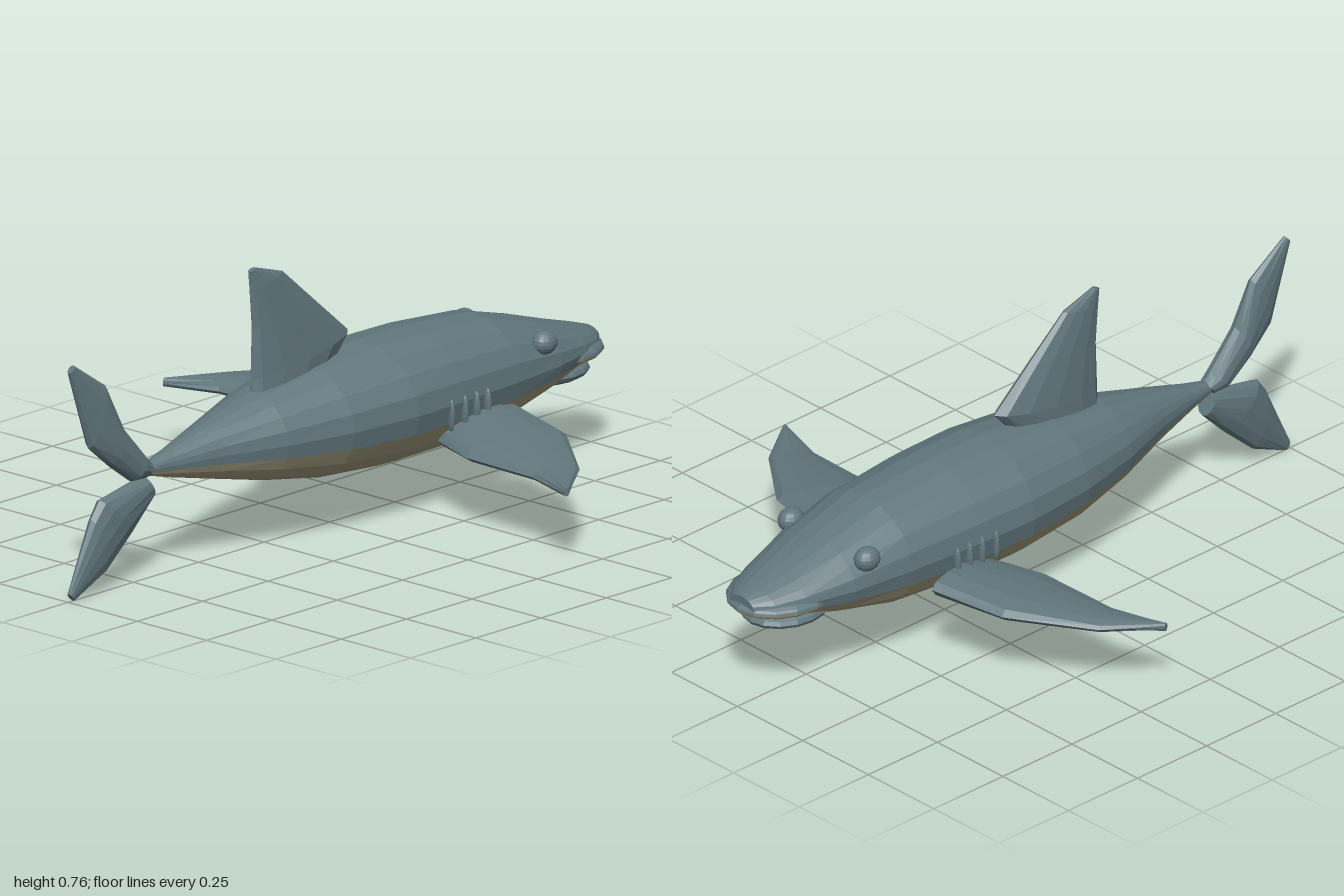
import * as THREE from 'three';

const slate = new THREE.MeshStandardMaterial({ color: 0x61767c, flatShading: true });
slate.name = 'slate skin';
const cream = new THREE.MeshStandardMaterial({ color: 0x9f987c, flatShading: true });
cream.name = 'pale belly';

// Skin closed rings of Vector3 into a capped solid; isPale(j) picks the second material
function loft(name, rings, isPale = () => false) {
  const parts = [[], []];
  const n = rings[0].length;
  let volume = 0;
  const tri = (j, a, b, c) => {
    volume += a.dot(b.clone().cross(c));
    parts[isPale(j) ? 1 : 0].push([a, b, c]);
  };
  for (let i = 0; i < rings.length - 1; i++) {
    for (let j = 0; j < n; j++) {
      const k = (j + 1) % n, r = rings[i], s = rings[i + 1];
      tri(j, r[j], r[k], s[k]);
      tri(j, r[j], s[k], s[j]);
    }
  }
  [rings[0], rings[rings.length - 1]].forEach((ring, end) => {
    const mid = ring.reduce((m, p) => m.add(p), new THREE.Vector3()).divideScalar(n);
    for (let j = 0; j < n; j++) {
      const k = (j + 1) % n;
      if (end) tri(j, ring[j], ring[k], mid); else tri(j, ring[k], ring[j], mid);
    }
  });
  // Turn all corners outward
  const points = [];
  const geometry = new THREE.BufferGeometry();
  parts.forEach((tris, m) => {
    geometry.addGroup(points.length, tris.length * 3, m);
    tris.forEach(([a, b, c]) => points.push(a, ...(volume < 0 ? [c, b] : [b, c])));
  });
  geometry.setFromPoints(points);
  geometry.computeVertexNormals();
  const mesh = new THREE.Mesh(geometry, [slate, cream]);
  mesh.name = name;
  return mesh;
}

// Fin: lens sections given as [leading point, trailing point, half thickness]
function fin(name, sections, thickAxis) {
  const up = new THREE.Vector3(...thickAxis);
  const rings = sections.map(([lead, trail, half]) => {
    const a = new THREE.Vector3(...lead), b = new THREE.Vector3(...trail);
    return Array.from({ length: 12 }, (_, j) => {
      const t = (j / 12) * Math.PI * 2;
      return a.clone().lerp(b, 0.5 - 0.5 * Math.cos(t)).addScaledVector(up, half * Math.sin(t));
    });
  });
  return loft(name, rings);
}

function ellipsoid(name, pos, radii, material, thetaStart = 0, thetaLength = Math.PI) {
  const mesh = new THREE.Mesh(
    new THREE.SphereGeometry(1, 16, 10, 0, Math.PI * 2, thetaStart, thetaLength), material);
  mesh.name = name;
  mesh.position.set(...pos);
  mesh.scale.set(...radii);
  return mesh;
}

export function createModel() {
  const shark = new THREE.Group();
  shark.name = 'shark';

  // Body stations: z, half width, top, bottom
  const stations = [
    [0.70, 0.020, 0.325, 0.288], [0.62, 0.036, 0.345, 0.266], [0.48, 0.075, 0.385, 0.232],
    [0.30, 0.138, 0.430, 0.190], [0.10, 0.186, 0.466, 0.155], [-0.12, 0.209, 0.484, 0.140],
    [-0.30, 0.204, 0.483, 0.141], [-0.54, 0.185, 0.465, 0.158], [-0.72, 0.160, 0.415, 0.205],
    [-0.86, 0.120, 0.370, 0.245], [-0.94, 0.085, 0.347, 0.265], [-0.985, 0.045, 0.333, 0.285],
  ];
  const rings = stations.map(([z, w, top, bottom]) => Array.from({ length: 20 }, (_, j) => {
    const t = (j / 20) * Math.PI * 2;
    return new THREE.Vector3(
      w * Math.cos(t), (top + bottom) / 2 + (top - bottom) / 2 * Math.sin(t), z);
  }));
  shark.add(loft('body', rings, (j) => j >= 11 && j <= 18));

  // Mouth: two-tone upper lip and a dark lower jaw
  const lip = [0, 0.296, -0.835], lipSize = [0.134, 0.036, 0.165];
  shark.add(ellipsoid('upperLip', lip, lipSize, slate, 0, Math.PI / 2));
  shark.add(ellipsoid('lowerLip', lip, lipSize, cream, Math.PI / 2, Math.PI / 2));
  shark.add(ellipsoid('lowerJaw', [0, 0.245, -0.825], [0.108, 0.033, 0.13], slate));

  // Dorsal fin
  shark.add(fin('dorsalFin', [
    [[0, 0.42, 0.02], [0, 0.38, 0.305], 0.045],
    [[0, 0.52, -0.07], [0, 0.46, 0.302], 0.043],
    [[0, 0.63, 0.058], [0, 0.60, 0.297], 0.031],
    [[0, 0.735, 0.18], [0, 0.71, 0.305], 0.018],
    [[0, 0.768, 0.285], [0, 0.76, 0.308], 0.008],
  ], [1, 0, 0]));

  // Tail fin lobes
  shark.add(fin('upperTailFin', [
    [[0, 0.324, 0.687], [0, 0.285, 0.715], 0.025],
    [[0, 0.345, 0.71], [0, 0.287, 0.765], 0.034],
    [[0, 0.447, 0.80], [0, 0.345, 0.845], 0.034],
    [[0, 0.57, 0.858], [0, 0.41, 0.922], 0.027],
    [[0, 0.652, 0.98], [0, 0.632, 0.998], 0.009],
  ], [1, 0, 0]));
  shark.add(fin('lowerTailFin', [
    [[0, 0.228, 0.682], [0, 0.29, 0.715], 0.028],
    [[0, 0.147, 0.762], [0, 0.26, 0.88], 0.034],
    [[0, 0.056, 0.864], [0, 0.215, 0.912], 0.027],
    [[0, 0.006, 0.98], [0, 0.028, 0.998], 0.009],
  ], [1, 0, 0]));

  // Paired parts
  for (const [side, s] of [['left', 1], ['right', -1]]) {
    shark.add(fin(side + 'PectoralFin', [
      [[s * 0.215, 0.25, -0.5], [s * 0.17, 0.212, -0.235], 0.04],
      [[s * 0.43, 0.237, -0.45], [s * 0.32, 0.21, -0.18], 0.032],
      [[s * 0.63, 0.218, -0.29], [s * 0.565, 0.208, -0.175], 0.019],
      [[s * 0.73, 0.21, -0.145], [s * 0.724, 0.208, -0.13], 0.012],
    ], [0, 1, 0]));
    shark.add(ellipsoid(side + 'Eye', [s * 0.145, 0.382, -0.668], [0.033, 0.033, 0.038], slate));
    [-0.254, -0.305, -0.35, -0.393].forEach((z, i) => {
      shark.add(ellipsoid(side + 'Gill' + (i + 1), [s * 0.2, 0.285, z], [0.013, 0.045, 0.009], slate));
    });
  }
  return shark;
}
